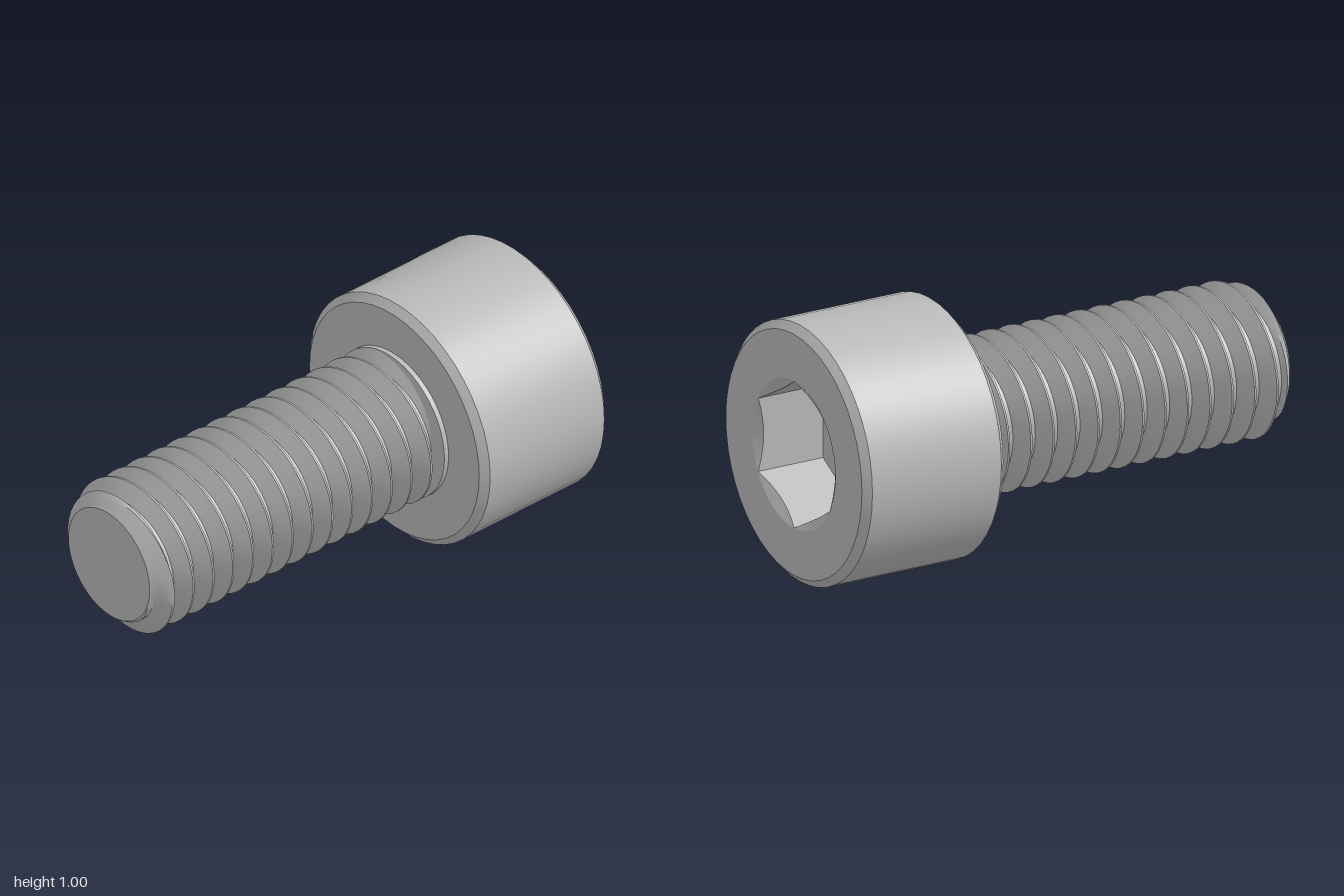
import * as THREE from 'three';
import { toCreasedNormals } from 'three/addons/utils/BufferGeometryUtils.js';

const SIDES = 48;
const steel = new THREE.MeshStandardMaterial({ color: 0xb8b8b8 });
steel.name = 'steel';

// Surface swept round the z axis; point(row, angle) returns [radius, z]
function loft(name, rows, point) {
  const pos = [];
  const at = (row, col) => {
    const a = (col / SIDES) * Math.PI * 2;
    const [r, z] = point(row, a);
    return new THREE.Vector3(r * Math.cos(a), r * Math.sin(a), z);
  };
  const tri = (a, b, c) => {
    const area = b.clone().sub(a).cross(c.clone().sub(a)).length();
    if (area > 1e-9) for (const v of [a, b, c]) pos.push(v.x, v.y, v.z);
  };
  for (let i = 0; i < rows - 1; i++) {
    for (let j = 0; j < SIDES; j++) {
      const a = at(i, j), b = at(i, j + 1), c = at(i + 1, j + 1), d = at(i + 1, j);
      tri(a, b, c);
      tri(a, c, d);
    }
  }
  const geo = new THREE.BufferGeometry();
  geo.setAttribute('position', new THREE.Float32BufferAttribute(pos, 3));
  const mesh = new THREE.Mesh(toCreasedNormals(geo, 0.5), steel);
  mesh.name = name;
  return mesh;
}

const turned = (name, profile) => loft(name, profile.length, (i) => profile[i]);

// Hexagonal recess with a shallow round countersink
function makeSocket() {
  const rim = 0.287, floorZ = -0.72, sector = Math.PI / 3;
  return loft('hexSocket', 4, (row, angle) => {
    const off = angle - Math.round(angle / sector) * sector;
    const r = 0.247 / Math.cos(off);
    return [[0, floorZ], [r, floorZ], [r, -1 + (rim - r) * 0.6], [rim, -1]][row];
  });
}

// Right-handed V thread, trimmed by the chamfered tip
function makeThread() {
  const pitch = 0.0965, crest = 0.3, root = 0.235, start = -0.42;
  const section = [[-0.04, crest], [0.04, crest], [0.16, 0.279], [0.29, 0.257],
    [0.42, root], [0.58, root], [0.71, 0.257], [0.84, 0.279]];
  const turns = 18, rows = turns * section.length;
  return loft('threadedShank', rows + 1, (row, angle) => {
    if (row === rows) return [0, 1];
    const [offset, radius] = section[row % section.length];
    const turn = Math.floor(row / section.length) - 15 + offset;
    const raw = 0.851 + pitch * (turn + angle / (Math.PI * 2));
    const z = THREE.MathUtils.clamp(raw, start, 1);
    return [Math.min(radius, 0.225 + (1 - z) * 1.4), z];
  });
}

export function createModel() {
  const model = new THREE.Group();
  model.name = 'socketHeadScrew';
  model.add(
    // Cylindrical head, chamfered at both ends
    turned('head', [[0.287, -1], [0.47, -1], [0.5, -0.973], [0.5, -0.417], [0.47, -0.39], [0.2, -0.39]]),
    makeSocket(),
    // Short collar where the shank meets the head
    turned('collar', [[0.3, -0.4], [0.3, -0.37], [0.235, -0.362]]),
    makeThread(),
  );
  for (const part of model.children) part.position.y = 0.5;
  return model;
}
